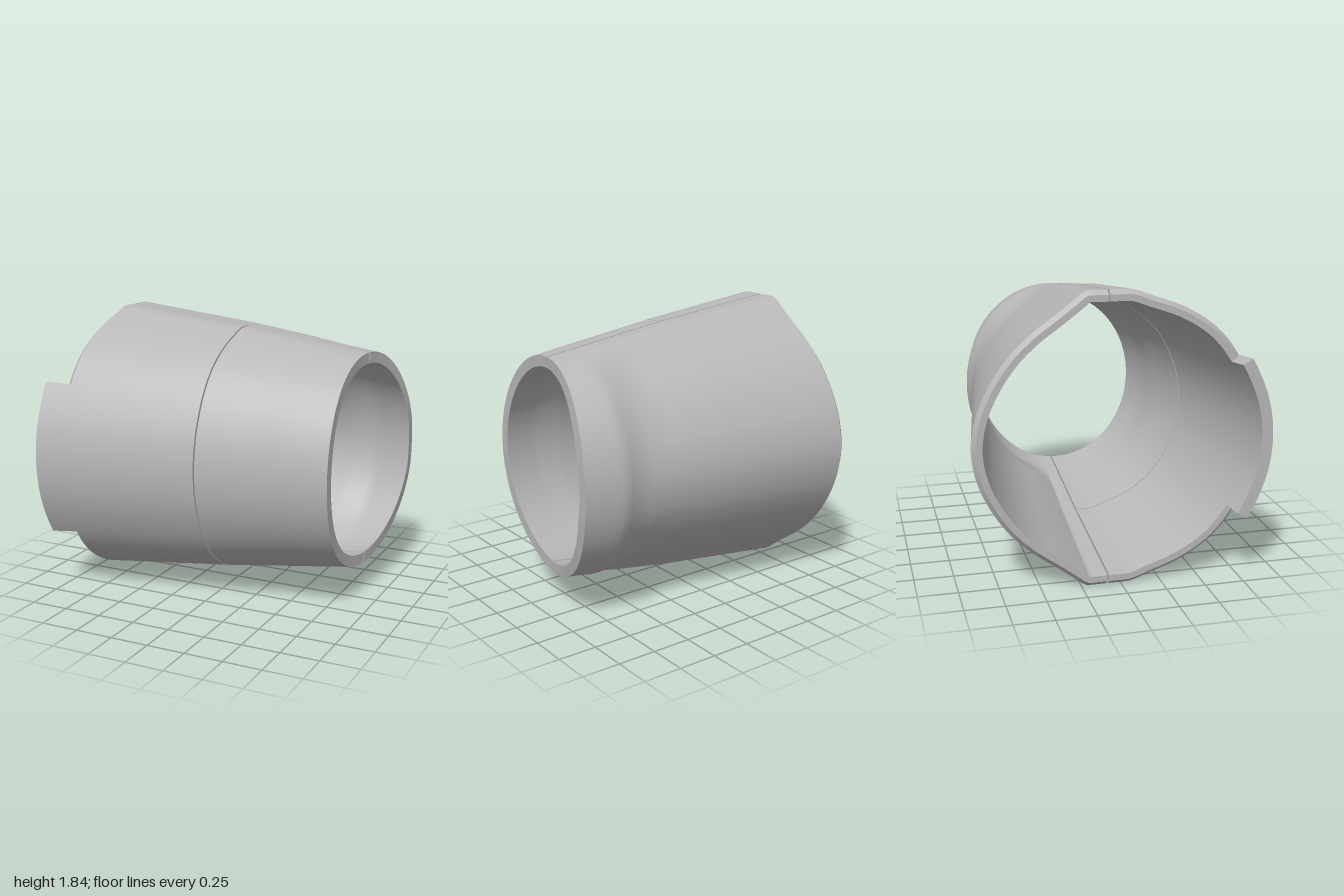
import * as THREE from 'three';
import { mergeGeometries } from 'three/addons/utils/BufferGeometryUtils.js';

const MID = 0.92, SEAM = -0.085, WALL = 0.07, CHAMFER = 0.03;

// Half cross-sections [z, height above the middle] at the wide end
const FRONT = [[-0.08, 0.92], [-0.01, 0.92], [0.06, 0.918], [0.18, 0.877], [0.375, 0.805], [0.55, 0.7], [0.67, 0.58], [0.775, 0.41], [0.85, 0.21], [0.875, 0]];
const BACK = [[-0.09, 0.92], [-0.16, 0.92], [-0.22, 0.918], [-0.3, 0.86], [-0.4, 0.785], [-0.55, 0.675], [-0.68, 0.55], [-0.79, 0.395], [-0.875, 0.21], [-0.91, 0]];

// Sizes along the length [x, value]
const HEIGHT = [[-1, 0.941], [-0.83, 0.92], [0.04, 0.822], [0.88, 0.7], [1, 0.683]];
const FRONT_Z = [[-1, 0.905], [-0.83, 0.875], [0.03, 0.72], [0.42, 0.637], [0.62, 0.612], [0.9, 0.56]];
const BACK_Z = [[-1, -0.935], [-0.83, -0.91], [0.48, -0.72], [0.58, -0.707], [0.66, -0.712], [0.74, -0.73], [1, -0.68]];

function along(table, x) {
  for (let i = 1; i < table.length; i++) {
    const [x0, a] = table[i - 1], [x1, b] = table[i];
    if (x <= x1 || i === table.length - 1) return a + (b - a) * Math.min(1, (x - x0) / (x1 - x0));
  }
}

// Mirrors a half profile into a full curve running from top seam to bottom seam
function fullCurve(half) {
  const pts = half.map(([z, y]) => new THREE.Vector3(0, y, z));
  const low = pts.slice(0, -1).reverse().map(p => new THREE.Vector3(0, -p.y, p.z));
  return new THREE.CatmullRomCurve3([...pts, ...low], false, 'centripetal');
}
const SIDES = {
  front: { sign: 1, curve: fullCurve(FRONT), reach: FRONT_Z, wide: 0.875, seam: SEAM + 0.005, round: -0.3 },
  back: { sign: -1, curve: fullCurve(BACK), reach: BACK_Z, wide: -0.91, seam: SEAM - 0.005, round: 0.4 },
};

// Outer surface: the ridged section rounds into an ellipse at the cuff
function section(side, x, t) {
  const h = along(HEIGHT, x), span = along(side.reach, x) - side.seam;
  const p = side.curve.getPointAt(t), k = THREE.MathUtils.smoothstep(x, side.round, 0.76);
  const z = THREE.MathUtils.lerp((p.z - side.seam) / (side.wide - side.seam), Math.sin(t * Math.PI), k);
  const y = THREE.MathUtils.lerp(p.y / 0.92, Math.cos(t * Math.PI), k);
  return [side.seam + z * span, MID + y * h];
}

// Same point moved inward by a depth, square to the section
function point(side, x, t, depth) {
  const [z, y] = section(side, x, t);
  if (depth === 0) return [x, y, z];
  const e = 0.01, a = section(side, x, Math.max(0, t - e)), b = section(side, x, Math.min(1, t + e));
  let dz = b[0] - a[0], dy = b[1] - a[1];
  if (t < 1e-6 || t > 1 - 1e-6) { dz = t < 0.5 ? side.sign : -side.sign; dy = 0; } // keeps the seam faces flat
  const s = side.sign * depth / Math.hypot(dz, dy);
  return [x, y - dz * s, z + dy * s];
}

function grid(f, nu, nv, flip) {
  const pos = [], index = [];
  for (let i = 0; i <= nu; i++) for (let j = 0; j <= nv; j++) pos.push(...f(i / nu, j / nv));
  for (let i = 0; i < nu; i++) for (let j = 0; j < nv; j++) {
    const a = i * (nv + 1) + j, b = a + 1, c = a + nv + 1, d = c + 1;
    if (flip) index.push(a, c, b, b, c, d);
    else index.push(a, b, c, b, d, c);
  }
  const g = new THREE.BufferGeometry();
  g.setAttribute('position', new THREE.Float32BufferAttribute(pos, 3));
  g.setIndex(index);
  g.computeVertexNormals();
  return g;
}

// Curved slanted cut at the narrow end
function cuffCut(side, t) {
  const z = section(side, 0.92, t)[0];
  return Math.min(1, 0.87 - 0.1 * z + 0.135 * z * z);
}

// Closed thick shell: outer and inner skins, two end rims and two seam faces
function shell(side, { x0, x1, t0 = 0, t1 = 1, chamfer = 0, rows = 24, cols = 64 }) {
  const flip = side.sign < 0;
  const P = (u, v, depth) => {
    const t = t0 + (t1 - t0) * v;
    const start = x0 + Math.max(0, chamfer - depth);
    const end = x1 === 'cuff' ? cuffCut(side, t) : x1;
    return point(side, start + (end - start) * u, t, depth);
  };
  const parts = [
    grid((u, v) => P(u, v, 0), rows, cols, flip),
    grid((u, v) => P(u, v, WALL), rows, cols, !flip),
    grid((w, v) => P(0, v, chamfer + w * (WALL - chamfer)), 1, cols, !flip),
    grid((w, v) => P(1, v, w * WALL), 1, cols, flip),
    grid((u, w) => P(u, 0, w * WALL), rows, 1, !flip),
    grid((u, w) => P(u, 1, w * WALL), rows, 1, flip),
  ];
  if (chamfer) parts.push(grid((w, v) => P(0, v, w * chamfer), 1, cols, !flip));
  return mergeGeometries(parts);
}

export function createModel() {
  const model = new THREE.Group();
  model.name = 'forearmGuard';
  const grey = new THREE.MeshStandardMaterial({ color: 0xb8b8b8 });
  grey.name = 'grey';
  const add = (name, geometry) => {
    const mesh = new THREE.Mesh(geometry, grey);
    mesh.name = name;
    model.add(mesh);
  };

  // Half shells split along the seam, the front one also split across
  add('backShell', shell(SIDES.back, { x0: -0.86, x1: 'cuff', chamfer: CHAMFER, rows: 48 }));
  add('frontWideShell', shell(SIDES.front, { x0: -0.86, x1: 0.034, chamfer: CHAMFER }));
  add('frontCuffShell', shell(SIDES.front, { x0: 0.043, x1: 'cuff', rows: 32 }));

  // Tab at the wide end: find where the profile reaches the tab's edge
  let t = 0;
  while (SIDES.front.curve.getPointAt(t).y > 0.493) t += 0.0005;
  add('elbowTab', shell(SIDES.front, { x0: -1, x1: -0.83, t0: t, t1: 1 - t, rows: 4, cols: 32 }));
  return model;
}
